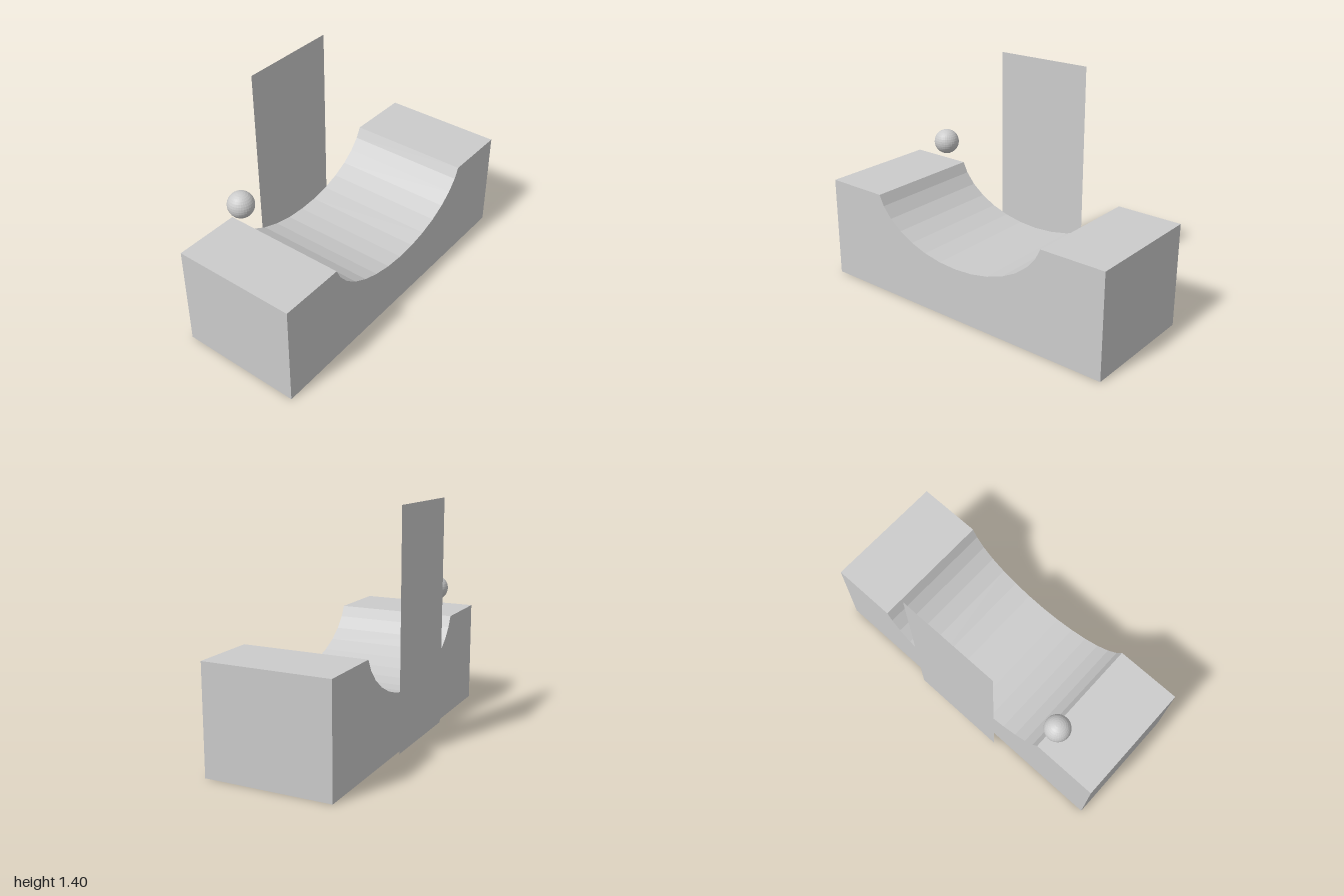
import * as THREE from 'three';

export function createModel() {
  const group = new THREE.Group();
  const grey = new THREE.MeshStandardMaterial({ color: 0xcccccc, flatShading: true });
  const thin = new THREE.MeshStandardMaterial({ color: 0xcccccc, side: THREE.DoubleSide });

  const add = (name, geometry, material, x, y, z) => {
    const mesh = new THREE.Mesh(geometry, material);
    mesh.name = name;
    mesh.position.set(x, y, z);
    group.add(mesh);
    return mesh;
  };

  // Block with an elliptical trough scooped out of its top, profile drawn in (z, y)
  const top = 0.635, step = Math.PI / 16;
  const profile = new THREE.Shape();
  profile.moveTo(-1, 0);
  profile.lineTo(1, 0);
  profile.lineTo(1, top);
  profile.lineTo(0.6, top);
  for (let k = 6; k >= -6; k--) {
    profile.lineTo(0.615 * Math.sin(k * step), 0.72 - 0.39 * Math.cos(k * step));
  }
  profile.lineTo(-0.6, top);
  profile.lineTo(-1, top);
  const block = new THREE.ExtrudeGeometry(profile, { depth: 0.755, bevelEnabled: false });
  block.rotateY(-Math.PI / 2); // profile x becomes z, depth runs to -x
  add('troughBlock', block, grey, 0.403, 0, 0);

  // Thin upright panel standing beside the block
  const panel = new THREE.PlaneGeometry(0.62, 1.37);
  panel.rotateY(-Math.PI / 2);
  add('uprightPanel', panel, thin, -0.404, 0.717, 0.002).rotation.x = 0.004;

  // Small ball floating above the front shelf
  add('ball', new THREE.SphereGeometry(0.078, 32, 16), grey, -0.234, 0.803, 0.637);

  return group;
}
